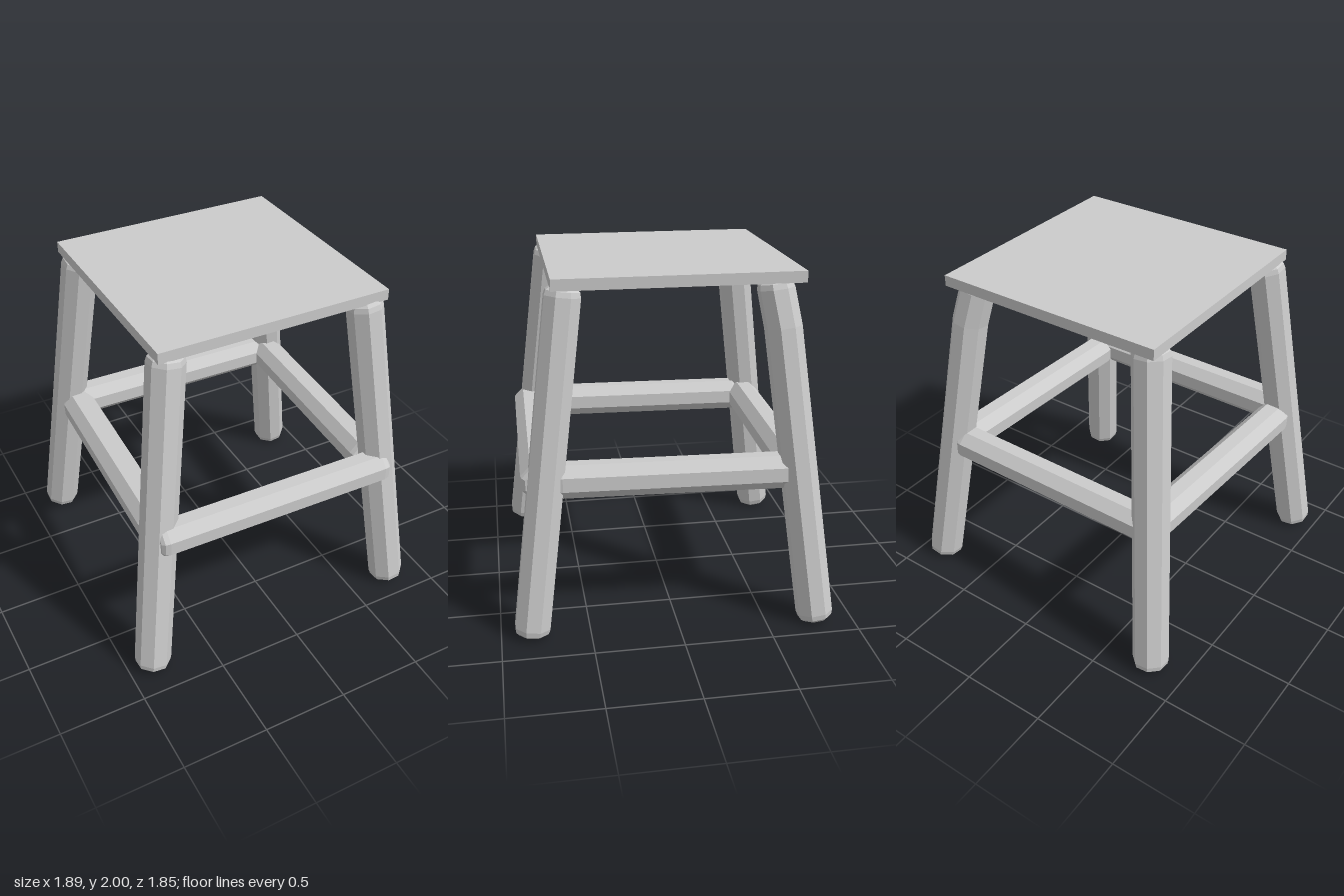
import * as THREE from 'three';

const material = new THREE.MeshStandardMaterial({ color: 0xcccccc, flatShading: true });
const UP = new THREE.Vector3(0, 1, 0);

// Eight-sided pole with softened ends, running from one point to another
function pole(name, from, to, radius, knee) {
  const a = new THREE.Vector3(...from);
  const axis = new THREE.Vector3(...to).sub(a);
  const length = axis.length();
  const end = [[0, 0], [0.74, 0], [0.93, 0.016], [1, 0.045]];
  const profile = [
    ...end.map(([r, y]) => new THREE.Vector2(r * radius, y)),
    ...(knee ? [new THREE.Vector2(radius, knee)] : []),
    ...end.map(([r, y]) => new THREE.Vector2(r * radius, length - y)).reverse(),
  ];
  const geometry = new THREE.LatheGeometry(profile, 8, Math.PI / 8);
  geometry.applyQuaternion(new THREE.Quaternion().setFromUnitVectors(UP, axis.normalize()));
  geometry.translate(a.x, a.y, a.z);
  const mesh = new THREE.Mesh(geometry, material);
  mesh.name = name;
  return mesh;
}

// Shift everything above a height progressively sideways
function bendTop(mesh, height, top, dx, dz) {
  const p = mesh.geometry.attributes.position;
  for (let i = 0; i < p.count; i++) {
    const t = Math.max(0, (p.getY(i) - height) / (top - height));
    p.setX(i, p.getX(i) + dx * t);
    p.setZ(i, p.getZ(i) + dz * t);
  }
  mesh.geometry.computeVertexNormals();
}

export function createModel() {
  const group = new THREE.Group();
  group.name = 'stool';

  // Thin square seat
  const seat = new THREE.Mesh(new THREE.BoxGeometry(1.36, 0.063, 1.355), material);
  seat.name = 'seat';
  seat.position.set(0, 1.9685, -0.022);
  group.add(seat);

  // Splayed legs, each leaning a little differently
  const legs = [
    ['frontLeftLeg', [0.765, 0.015, 0.83], [0.575, 1.935, 0.585]],
    ['frontRightLeg', [-0.855, 0.015, 0.8], [-0.598, 1.935, 0.575]],
    ['backRightLeg', [-0.79, 0.015, -0.835], [-0.59, 1.935, -0.585]],
    ['backLeftLeg', [0.85, 0.015, -0.785], [0.594, 1.935, -0.563], 1.7],
  ];
  for (const [name, foot, top, knee] of legs) {
    const leg = pole(name, foot, top, 0.105, knee);
    if (knee) bendTop(leg, knee, 1.935, -0.022, 0.015);
    group.add(leg);
  }

  // Stretchers joining the legs
  const y = 0.885;
  const rails = [
    ['frontRail', [-0.77, y, 0.74], [0.695, y, 0.757]],
    ['backRail', [-0.68, y, -0.692], [0.68, y, -0.674]],
    ['leftRail', [0.702, y, -0.67], [0.645, y, 0.67]],
    ['rightRail', [-0.667, y, -0.67], [-0.721, y, 0.65]],
  ];
  for (const [name, from, to] of rails) group.add(pole(name, from, to, 0.103));

  return group;
}
